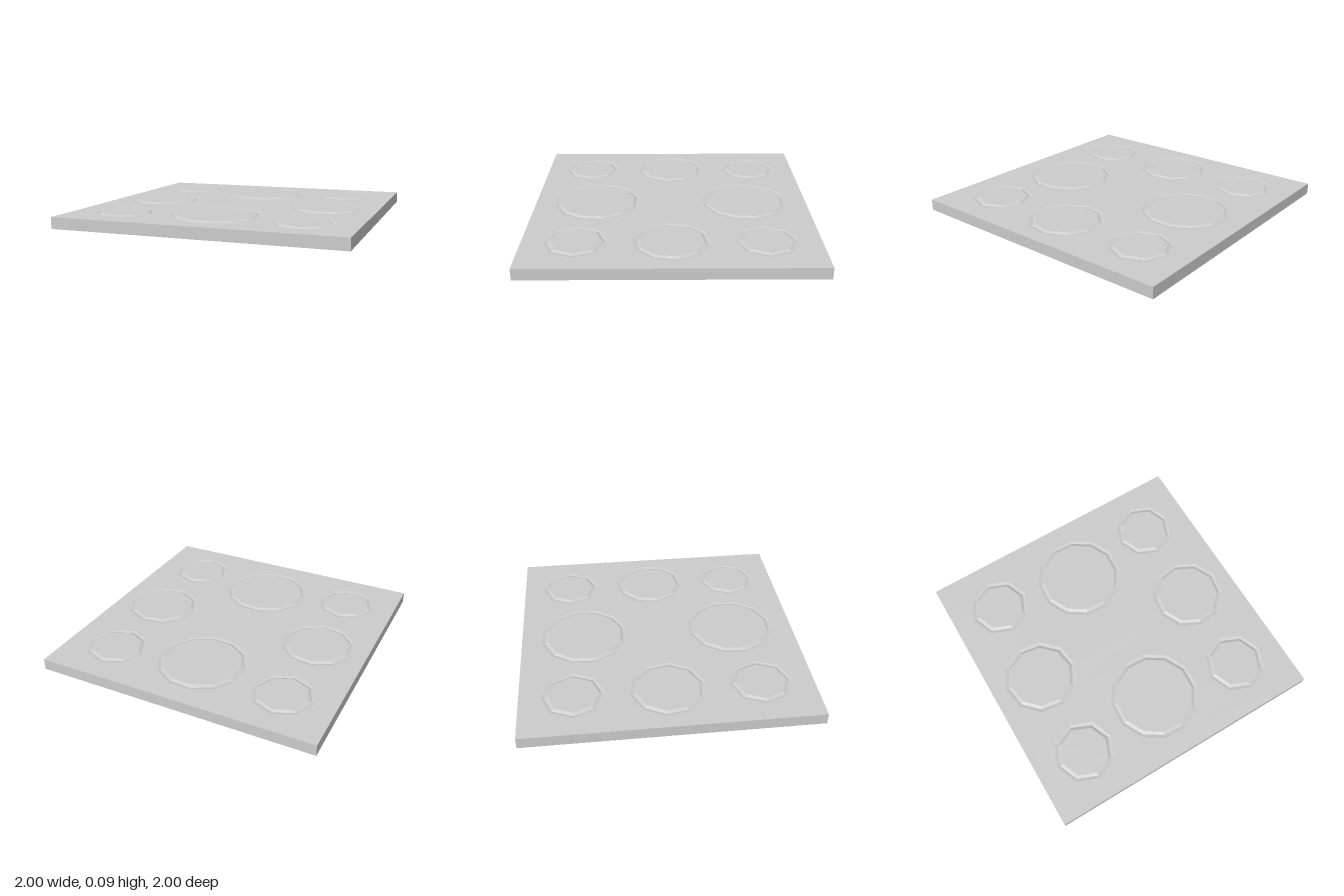
import * as THREE from 'three';

const TOP = 0.08;      // plate surface
const GROOVE = 0.075;  // bottom of the groove round each stud
const STUD = 0.085;    // raised stud face
const BAND = 0.022;    // width of each slope beside the groove

const flat = (geometry) => {
  const g = geometry.index ? geometry.toNonIndexed() : geometry;
  g.computeVertexNormals();
  return g;
};

// x, z, radius, sides, angle of the first corner (from +x towards +z, degrees)
const studs = [
  [0, -0.545, 0.296, 12, 18],
  [0, 0.545, 0.296, 12, 18],
];
for (const s of [-1, 1]) {
  studs.push([s * 0.637, 0, 0.243, 10, s < 0 ? 9 : 171]);
  for (const t of [-1, 1]) studs.push([s * 0.637, t * 0.637, 0.195, 8, 0]);
}

export function createModel() {
  const model = new THREE.Group();
  model.name = 'studdedPlate';
  const grey = new THREE.MeshStandardMaterial({ color: 0xcccccc, side: THREE.DoubleSide });
  grey.name = 'light grey';

  const add = (name, geometry) => {
    const mesh = new THREE.Mesh(flat(geometry), grey);
    mesh.name = name;
    model.add(mesh);
    return mesh;
  };

  // Plate top, with an opening for every stud
  const sheet = new THREE.Shape([[-1, -1], [1, -1], [1, 1], [-1, 1]].map(([x, y]) => new THREE.Vector2(x, y)));
  for (const [x, z, r, n, deg] of studs) {
    const corners = [];
    for (let i = 0; i < n; i++) {
      const a = THREE.MathUtils.degToRad(deg) + (i / n) * Math.PI * 2;
      corners.push(new THREE.Vector2(x + (r + BAND) * Math.cos(a), -(z + (r + BAND) * Math.sin(a))));
    }
    sheet.holes.push(new THREE.Path(corners));
  }
  add('plateTop', new THREE.ShapeGeometry(sheet).rotateX(-Math.PI / 2).translate(0, TOP, 0));

  // Four thin side walls, open underneath
  add('plateSides', new THREE.CylinderGeometry(Math.SQRT2, Math.SQRT2, TOP, 4, 1, true)
    .rotateY(Math.PI / 4).translate(0, TOP / 2, 0));

  // Low bevelled studs, each set in a shallow groove
  for (const [x, z, r, n, deg] of studs) {
    const profile = [[r + BAND, TOP], [r, GROOVE], [r - BAND, STUD], [0, STUD]]
      .map(([px, py]) => new THREE.Vector2(px, py));
    const start = THREE.MathUtils.degToRad(90 - deg);
    add('stud', new THREE.LatheGeometry(profile, n, start)).position.set(x, 0, z);
  }
  return model;
}
